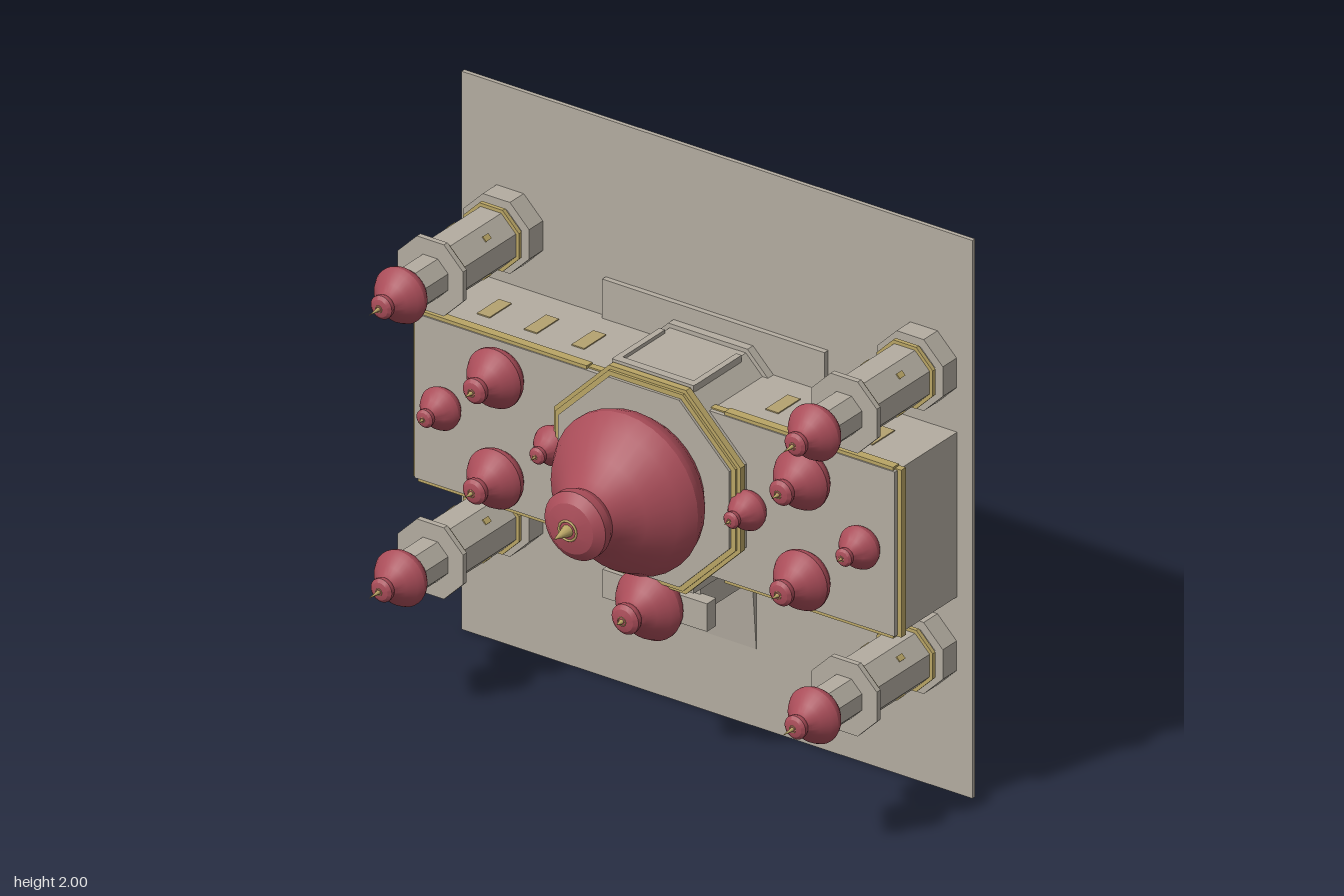
import * as THREE from 'three';
import { toCreasedNormals } from 'three/addons/utils/BufferGeometryUtils.js';

const mat = (name, color) => {
  const m = new THREE.MeshStandardMaterial({ color });
  m.name = name;
  return m;
};

export function createModel() {
  const stone = mat('stone', 0xb3aca0);
  const red = mat('domeRed', 0xa84c58);
  const gold = mat('goldTrim', 0xb9a565);
  const pane = mat('windowGold', 0xb5a270);

  // The building is made upright (y up, entrance at +z), then tipped so its roof faces the front.
  const building = new THREE.Group();
  building.name = 'building';
  building.rotation.x = Math.PI / 2;
  building.position.y = 1;

  const add = (name, geo, material, x = 0, y = 0, z = 0, parent = building) => {
    const m = new THREE.Mesh(geo, material);
    m.name = name;
    m.position.set(x, y, z);
    parent.add(m);
    return m;
  };
  // box between heights y0 and y1
  const slab = (name, material, w, d, y0, y1, x = 0, z = 0, parent = building) =>
    add(name, new THREE.BoxGeometry(w, y1 - y0, d), material, x, (y0 + y1) / 2, z, parent);
  // regular octagonal prism, sized by the distance to its flat sides
  const octagon = (name, material, apothem, y0, y1, parent = building) => {
    const r = apothem / Math.cos(Math.PI / 8);
    const g = new THREE.CylinderGeometry(r, r, y1 - y0, 8);
    g.rotateY(Math.PI / 8);
    return add(name, toCreasedNormals(g, 0.3), material, 0, (y0 + y1) / 2, 0, parent);
  };

  // onion dome profile for radius 1 and height 1
  const profile = [
    [0.84, 0], [0.95, 0.1], [1, 0.19], [1, 0.24], [0.88, 0.38], [0.62, 0.55], [0.44, 0.69],
    [0.38, 0.77], [0.42, 0.83], [0.42, 0.9], [0.31, 0.96], [0.09, 1], [0, 1],
  ].map(([a, b]) => new THREE.Vector2(a, b));
  const dome = (name, r, height, tip, x, y, z, parent = building) => {
    const g = new THREE.Group();
    g.name = name;
    g.position.set(x, y, z);
    const shell = new THREE.LatheGeometry(profile.map((p) => new THREE.Vector2(p.x * r, p.y * height)), 32);
    add('domeShell', toCreasedNormals(shell, 0.4), red, 0, 0, 0, g);
    add('finial', new THREE.ConeGeometry(r * 0.08, tip - height + 0.005, 12), gold, 0, (tip + height - 0.005) / 2, 0, g);
    const ring = new THREE.TorusGeometry(r * 0.12, r * 0.015, 6, 16);
    ring.rotateX(Math.PI / 2);
    add('finialRing', ring, gold, 0, height, 0, g);
    parent.add(g);
  };

  // ground and plinth
  slab('ground', stone, 2, 2, -0.455, -0.44);
  slab('plinth', stone, 0.87, 0.87, -0.44, -0.42);

  // long hall with a gold cornice
  slab('hall', stone, 1.88, 0.59, -0.44, -0.1);
  slab('hallCornice', gold, 1.91, 0.6, -0.14, -0.115);
  for (const sx of [-1, 1]) {
    for (const sz of [-1, 1]) {
      slab('corniceMoulding', gold, 0.66, 0.012, -0.137, -0.105, sx * 0.6, sz * 0.301);
      for (const x of [0.38, 0.565, 0.75]) {
        slab('hallWindow', pane, 0.05, 0.006, -0.33, -0.21, sx * x, sz * 0.296);
      }
      dome('roofDome', 0.105, 0.165, 0.2, sx * 0.6, -0.1, sz * 0.18);
    }
    dome('outerRoofDome', 0.075, 0.125, 0.15, sx * 0.82, -0.1, 0);
    dome('innerRoofDome', 0.07, 0.125, 0.15, sx * 0.38, -0.1, 0);
  }

  // central octagonal chamber
  octagon('chamberBase', stone, 0.375, -0.44, -0.39);
  octagon('chamber', stone, 0.36, -0.39, -0.085);
  octagon('chamberCornice', gold, 0.365, -0.085, -0.06);
  octagon('chamberCorniceUpper', gold, 0.352, -0.06, -0.05);
  octagon('chamberRoof', stone, 0.335, -0.05, -0.04);
  // raised frame on the front and back walls
  for (const sz of [-1, 1]) {
    for (const sx of [-1, 1]) slab('wallPilaster', stone, 0.022, 0.025, -0.35, -0.1, sx * 0.15, sz * 0.36);
    slab('wallLintel', stone, 0.32, 0.025, -0.12, -0.09, 0, sz * 0.36);
  }
  dome('mainDome', 0.285, 0.415, 0.49, 0, -0.04, 0);

  // entrance porch and its ramp
  slab('porch', stone, 0.3, 0.13, -0.44, -0.14, 0, 0.405);
  slab('porchCanopy', stone, 0.41, 0.1, -0.15, -0.1, 0, 0.45);
  dome('porchDome', 0.125, 0.19, 0.22, 0, -0.11, 0.45);
  const ramp = new THREE.Shape([
    new THREE.Vector2(-0.45, -0.44), new THREE.Vector2(-0.45, -0.415),
    new THREE.Vector2(-0.72, -0.438), new THREE.Vector2(-0.72, -0.44),
  ]);
  const rampGeo = new THREE.ExtrudeGeometry(ramp, { depth: 0.31, bevelEnabled: false });
  rampGeo.translate(0, 0, -0.155);
  rampGeo.rotateY(Math.PI / 2);
  add('entranceRamp', rampGeo, stone);

  // four corner towers
  for (const sx of [-1, 1]) {
    for (const sz of [-1, 1]) {
      const t = new THREE.Group();
      t.name = 'cornerTower';
      t.position.set(sx * 0.81, 0, sz * 0.507);
      building.add(t);
      octagon('towerBase', stone, 0.128, -0.44, -0.365, t);
      octagon('towerShaft', stone, 0.098, -0.365, -0.025, t);
      octagon('lowerRing', gold, 0.11, -0.35, -0.335, t);
      octagon('upperRing', gold, 0.11, -0.045, -0.03, t);
      octagon('towerBalcony', stone, 0.128, -0.025, -0.005, t);
      octagon('towerNeck', stone, 0.07, -0.005, 0.13, t);
      for (let i = 0; i < 4; i++) {
        const a = Math.PI / 4 + (i * Math.PI) / 2;
        const w = slab('towerWindow', gold, 0.02, 0.006, -0.23, -0.2, Math.sin(a) * 0.099, Math.cos(a) * 0.099, t);
        w.rotation.y = a;
      }
      dome('towerDome', 0.098, 0.152, 0.205, 0, 0.125, 0, t);
    }
  }

  const model = new THREE.Group();
  model.name = 'domedHall';
  model.add(building);
  return model;
}
